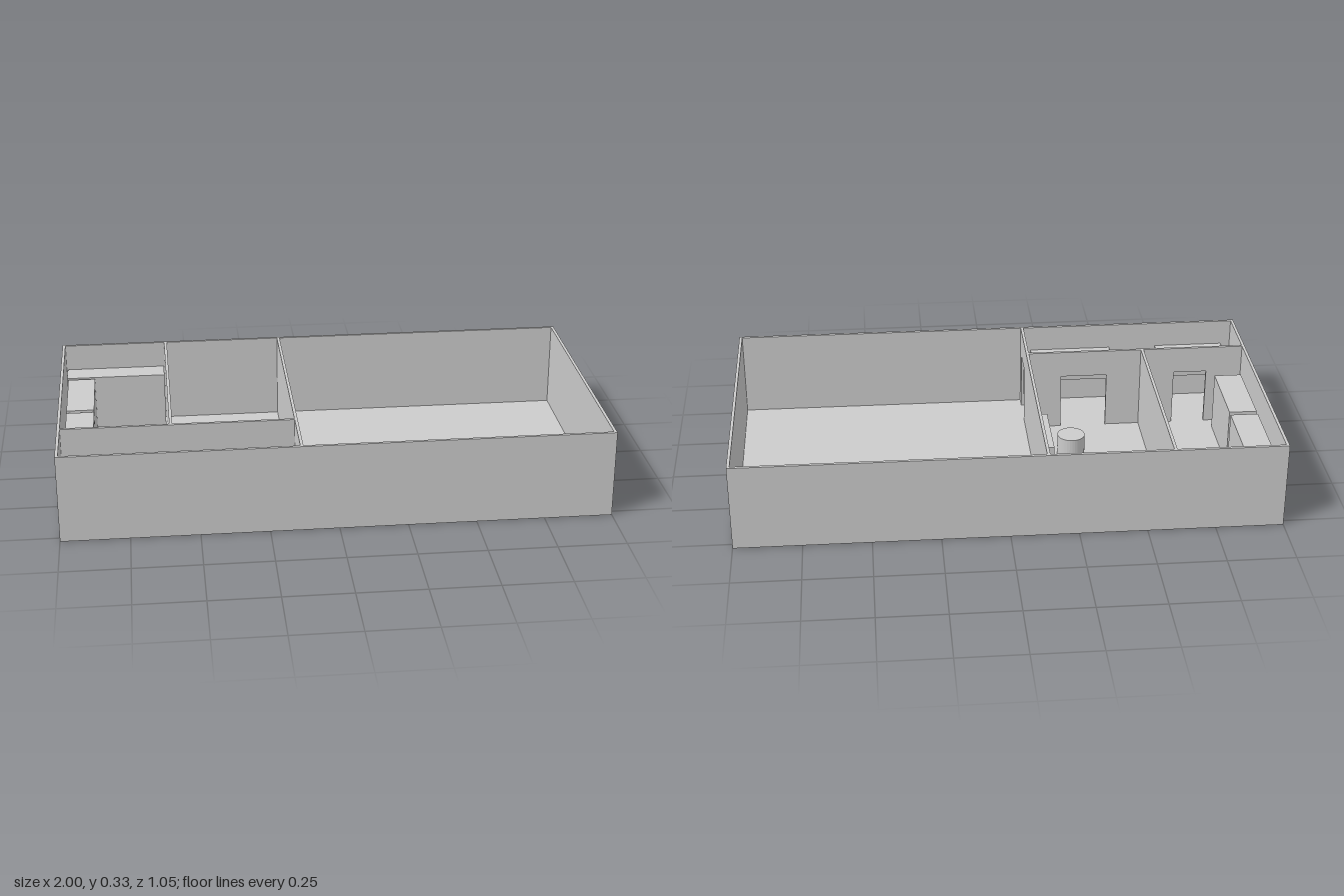
import * as THREE from 'three';

const H = 0.33, T = 0.011, DOOR_H = 0.225, HX = 1, HZ = 0.527;

export function createModel() {
  const group = new THREE.Group();
  const mat = new THREE.MeshStandardMaterial({ color: 0xcccccc, flatShading: true });

  const add = (name, geometry) => {
    const mesh = new THREE.Mesh(geometry, mat);
    mesh.name = name;
    group.add(mesh);
    return mesh;
  };

  // Wall running along an axis from a to b, centred on "at", with floor-level doorways [from, to]
  const wall = (name, axis, at, a, b, doors = []) => {
    const s = new THREE.Shape();
    s.moveTo(a, 0);
    for (const [d0, d1] of doors) {
      s.lineTo(d0, 0);
      s.lineTo(d0, DOOR_H);
      s.lineTo(d1, DOOR_H);
      s.lineTo(d1, 0);
    }
    s.lineTo(b, 0);
    s.lineTo(b, H);
    s.lineTo(a, H);
    s.closePath();
    const g = new THREE.ExtrudeGeometry(s, { depth: T, bevelEnabled: false });
    g.translate(0, 0, -T / 2);
    if (axis === 'z') g.rotateY(-Math.PI / 2).translate(at, 0, 0);
    else g.translate(0, 0, at);
    add(name, g);
  };

  // Box given by its extents
  const block = (name, x0, x1, y0, y1, z0, z1) =>
    add(name, new THREE.BoxGeometry(x1 - x0, y1 - y0, z1 - z0))
      .position.set((x0 + x1) / 2, (y0 + y1) / 2, (z0 + z1) / 2);

  // Floor slab
  block('floor', -HX + T, HX - T, 0, 0.003, -HZ + T, HZ - T);

  // Outer walls
  wall('frontWall', 'x', HZ - T / 2, -HX, HX);
  wall('backWall', 'x', -HZ + T / 2, -HX, HX);
  wall('leftWall', 'z', HX - T / 2, -HZ + T, HZ - T);
  wall('rightWall', 'z', -HX + T / 2, -HZ + T, HZ - T, [[0.34, 0.467]]);

  // Inner partitions
  wall('hallPartition', 'z', -0.135, -HZ + T, HZ - T, [[0.345, 0.47]]);
  wall('corridorPartition', 'x', 0.287, -HX + T, -0.14, [[-0.85, -0.72], [-0.45, -0.27]]);
  wall('roomPartition', 'z', -0.59, -HZ + T, 0.282);

  // Cabinets in the corner room
  block('backCabinet', -0.985, -0.6, 0, 0.23, -0.51, -0.418);
  block('sideCabinetBack', -0.98, -0.875, 0, 0.23, -0.402, -0.098);
  block('sideCabinetFront', -0.98, -0.875, 0, 0.23, -0.077, 0.23);

  // Desk and round stool in the middle room
  block('desk', -0.205, -0.14, 0, 0.113, -0.088, 0.182);
  add('stool', new THREE.CylinderGeometry(0.053, 0.053, 0.09, 32)).position.set(-0.285, 0.045, 0.052);

  // Boards on the corridor side of the front wall
  for (const [x0, x1] of [[-0.952, -0.68], [-0.492, -0.17]])
    block('wallBoard', x0, x1, 0.1, 0.23, 0.492, HZ - T);

  return group;
}
